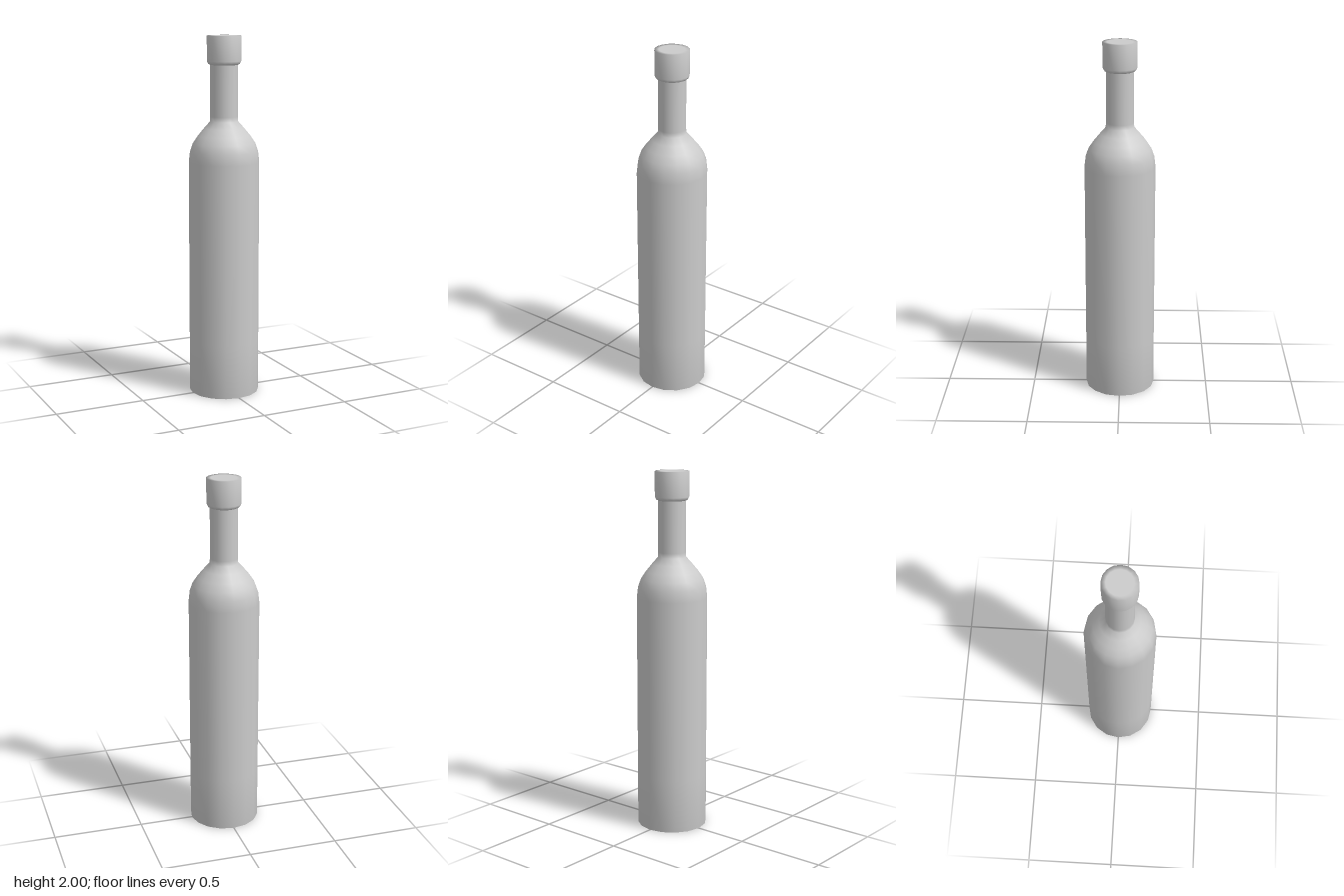
import * as THREE from 'three';

const SIDES = 16;

// Revolve a profile of [radius, height] points, listed from bottom to top
function turned(name, profile) {
  const points = profile.map(([r, y]) => new THREE.Vector2(r, y));
  const mesh = new THREE.Mesh(
    new THREE.LatheGeometry(points, SIDES),
    new THREE.MeshStandardMaterial({ color: 0xcccccc, side: THREE.DoubleSide })
  );
  mesh.name = name;
  return mesh;
}

export function createModel() {
  const model = new THREE.Group();
  model.name = 'bottle';

  // Base, straight body, rounded shoulder and slim neck
  model.add(turned('bottleBody', [
    [0, 0], [0.16, 0], [0.195, 0],
    [0.195, 0.3], [0.195, 1.31],
    [0.188, 1.37], [0.172, 1.415], [0.145, 1.455], [0.11, 1.497],
    [0.078, 1.533], [0.076, 1.56], [0.076, 1.845],
  ]));

  // Wider cap with a bevelled lower edge
  model.add(turned('cap', [
    [0.076, 1.842], [0.086, 1.846], [0.094, 1.862],
    [0.094, 2], [0.07, 2], [0, 2],
  ]));

  return model;
}
